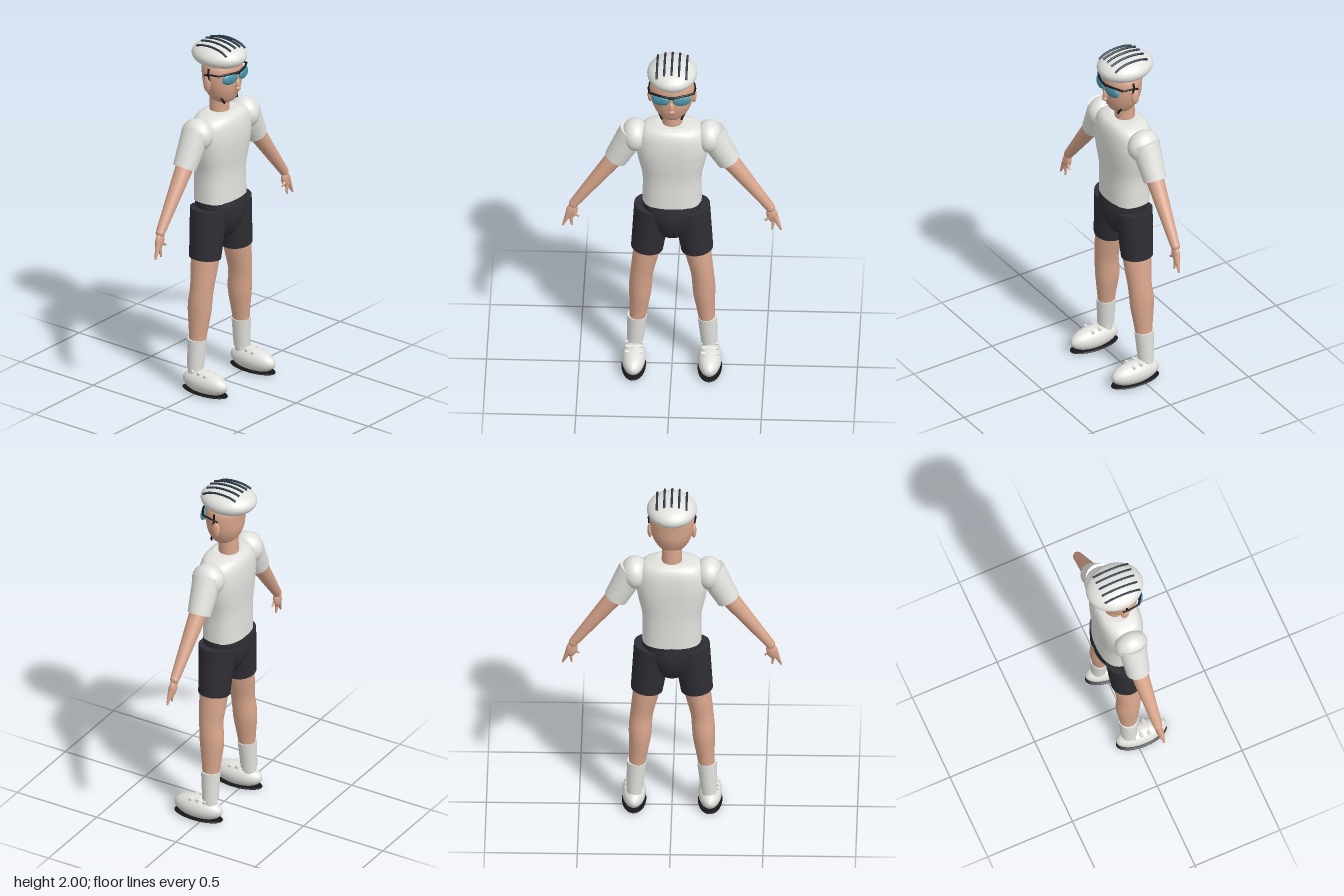
import * as THREE from 'three';

const mat = (name, color) => {
  const m = new THREE.MeshStandardMaterial({ color });
  m.name = name;
  return m;
};
const V = (x, y, z) => new THREE.Vector3(x, y, z);

// Smooth body through sections [y, centreX, centreZ, radiusX, radiusZ], listed upward, with flat ends.
function loft(sections, power = 2, sides = 40, steps = 24) {
  const centre = new THREE.CatmullRomCurve3(sections.map(s => V(s[1], s[0], s[2])), false, 'catmullrom', 0.5);
  const radius = new THREE.CatmullRomCurve3(sections.map(s => V(s[3], s[4], 0)), false, 'catmullrom', 0.5);
  const pos = [], idx = [];
  const bend = v => Math.sign(v) * Math.abs(v) ** (2 / power);
  const ring = t => {
    const c = centre.getPoint(t), r = radius.getPoint(t);
    for (let j = 0; j < sides; j++) {
      const a = j / sides * Math.PI * 2;
      pos.push(c.x + r.x * bend(Math.cos(a)), c.y, c.z + r.y * bend(Math.sin(a)));
    }
    return c;
  };
  for (let i = 0; i <= steps; i++) ring(i / steps);
  for (let i = 0; i < steps; i++) for (let j = 0; j < sides; j++) {
    const a = i * sides + j, b = i * sides + (j + 1) % sides;
    idx.push(a, a + sides, b, b, a + sides, b + sides);
  }
  for (const t of [0, 1]) {
    const start = pos.length / 3, c = ring(t);
    pos.push(c.x, c.y, c.z);
    for (let j = 0; j < sides; j++) {
      const a = start + j, b = start + (j + 1) % sides;
      idx.push(start + sides, t ? b : a, t ? a : b);
    }
  }
  const g = new THREE.BufferGeometry();
  g.setAttribute('position', new THREE.Float32BufferAttribute(pos, 3));
  g.setIndex(idx);
  g.computeVertexNormals();
  return g;
}

export function createModel() {
  const model = new THREE.Group();
  model.name = 'cyclist';
  const skin = mat('skin', 0xd9a68c), shirt = mat('white', 0xe2e2de), cloth = mat('shortsCharcoal', 0x2e2e34),
    black = mat('black', 0x17171a), lensMat = mat('lensTeal', 0x4a93a8), vent = mat('ventSlate', 0x2d3a4a),
    lip = mat('lipBrown', 0x9a6656);

  const add = (name, geometry, material) => {
    const m = new THREE.Mesh(geometry, material);
    m.name = name;
    model.add(m);
    return m;
  };
  const ball = (name, material, c, r) => {
    const m = add(name, new THREE.SphereGeometry(1, 36, 24), material);
    m.position.set(...c);
    m.scale.set(...r);
    return m;
  };
  // Tapered cylinder from a to b.
  const limb = (name, material, a, b, ra, rb) => {
    const p = V(...a), q = V(...b), d = q.clone().sub(p);
    const m = add(name, new THREE.CylinderGeometry(rb, ra, d.length(), 32), material);
    m.position.copy(p).lerp(q, 0.5);
    m.quaternion.setFromUnitVectors(V(0, 1, 0), d.normalize());
    return m;
  };
  const tube = (name, material, points, r) =>
    add(name, new THREE.TubeGeometry(new THREE.CatmullRomCurve3(points.map(p => V(...p))), 24, r, 8), material);

  // Torso, hips, neck
  add('shirt', loft([[1.085, 0, -0.025, 0.16, 0.114], [1.25, 0, -0.025, 0.16, 0.112], [1.36, 0, -0.022, 0.182, 0.12],
    [1.45, 0, -0.02, 0.195, 0.124], [1.53, 0, -0.02, 0.185, 0.118], [1.575, 0, -0.02, 0.15, 0.1],
    [1.592, 0, -0.02, 0.09, 0.07]], 2.4), shirt);
  add('shortsHips', loft([[0.84, 0, -0.02, 0.01, 0.01], [0.855, 0, -0.02, 0.055, 0.05], [0.9, 0, -0.02, 0.095, 0.09],
    [0.98, 0, -0.02, 0.135, 0.12], [1.04, 0, -0.02, 0.158, 0.122], [1.088, 0, -0.022, 0.165, 0.117]]), cloth);
  limb('neck', skin, [0, 1.55, -0.03], [0, 1.7, -0.027], 0.055, 0.054);

  // Head and face
  add('head', loft([[1.645, 0, 0, 0.035, 0.035], [1.665, 0, -0.003, 0.064, 0.064], [1.7, 0, -0.006, 0.09, 0.084],
    [1.75, 0, -0.009, 0.11, 0.099], [1.81, 0, -0.01, 0.12, 0.103], [1.87, 0, -0.012, 0.116, 0.102],
    [1.93, 0, -0.015, 0.07, 0.07]]), skin);
  ball('nose', skin, [0, 1.765, 0.093], [0.014, 0.034, 0.017]);
  ball('noseTip', skin, [0, 1.745, 0.1], [0.017, 0.013, 0.014]);
  ball('mouth', lip, [0, 1.718, 0.083], [0.016, 0.004, 0.005]);

  // Helmet with five vent stripes following its top
  const hc = [0, 1.915, -0.03], hr = [0.135, 0.072, 0.159];
  ball('helmet', shirt, hc, hr);
  for (let i = -2; i <= 2; i++) {
    const x = i * 0.04, pts = [];
    for (let k = 0; k <= 8; k++) {
      const z = -0.122 + k * 0.0258;
      const h = Math.sqrt(1 - (x / hr[0]) ** 2 - ((z - hc[2]) / hr[2]) ** 2);
      pts.push([x, hc[1] + hr[1] * h + 0.006, z]);
    }
    tube('helmetVent', vent, pts, 0.006);
  }

  // Glasses bridge
  tube('glassesBridge', black, [[-0.02, 1.825, 0.098], [0, 1.832, 0.103], [0.02, 1.825, 0.098]], 0.004);
  tube('glassesBrow', black, [[-0.122, 1.842, 0.06], [-0.06, 1.846, 0.095], [0, 1.842, 0.107],
    [0.06, 1.846, 0.095], [0.122, 1.842, 0.06]], 0.006);

  for (const s of [1, -1]) {
    const side = s > 0 ? 'left' : 'right';
    // Ear, lens, temple and helmet strap
    ball(side + 'Ear', skin, [s * 0.118, 1.775, -0.02], [0.014, 0.045, 0.023]);
    const lens = ball(side + 'Lens', lensMat, [s * 0.058, 1.815, 0.09], [0.05, 0.032, 0.016]);
    lens.rotation.y = s * 0.25;
    tube(side + 'Temple', black, [[s * 0.12, 1.842, 0.065], [s * 0.126, 1.838, 0.01], [s * 0.122, 1.825, -0.035]], 0.005);
    tube(side + 'Strap', black, [[s * 0.118, 1.87, -0.008], [s * 0.12, 1.82, -0.008], [s * 0.088, 1.74, 0.02],
      [s * 0.052, 1.658, 0.048]], 0.006);

    // Shoulder, sleeve and arm
    ball(side + 'Shoulder', shirt, [s * 0.2, 1.505, -0.022], [0.075, 0.09, 0.093]);
    limb(side + 'Sleeve', shirt, [s * 0.208, 1.525, -0.022], [s * 0.304, 1.343, -0.027], 0.08, 0.064);
    limb(side + 'Arm', skin, [s * 0.27, 1.4, -0.026], [s * 0.527, 1.05, -0.011], 0.053, 0.026);

    // Hand: wrist, palm, two finger groups and thumb
    ball(side + 'Wrist', skin, [s * 0.53, 1.045, -0.011], [0.026, 0.026, 0.025]);
    const palm = ball(side + 'Palm', skin, [s * 0.54, 1.0, -0.008], [0.031, 0.05, 0.019]);
    palm.rotation.z = s * 0.25;
    for (const [x, y, r] of [[0.589, 0.908, 0.02], [0.54, 0.91, 0.015], [0.5, 0.968, 0.015]])
      limb(side + 'Finger', skin, [s * 0.55, 1.0, -0.006], [s * x, y, 0.002], r, 0.005);

    // Shorts leg, bare leg and sock
    limb(side + 'ShortsLeg', cloth, [s * 0.102, 1.045, -0.02], [s * 0.135, 0.765, -0.02], 0.103, 0.087);
    add(side + 'Leg', loft([[0.24, s * 0.192, -0.032, 0.042, 0.046], [0.32, s * 0.184, -0.03, 0.046, 0.05],
      [0.45, s * 0.173, -0.028, 0.059, 0.066], [0.52, s * 0.17, -0.025, 0.062, 0.068],
      [0.6, s * 0.163, -0.018, 0.062, 0.067], [0.7, s * 0.146, -0.018, 0.069, 0.076],
      [0.82, s * 0.125, -0.018, 0.077, 0.083]]), skin);
    limb(side + 'Sock', shirt, [s * 0.2, 0.135, -0.035], [s * 0.189, 0.3, -0.031], 0.045, 0.053);
    limb(side + 'Ankle', shirt, [s * 0.204, 0.07, -0.036], [s * 0.2, 0.15, -0.035], 0.038, 0.04);

    // Shoe, sole and laces
    ball(side + 'Shoe', shirt, [s * 0.205, 0.067, 0.037], [0.064, 0.065, 0.147]);
    ball(side + 'Sole', black, [s * 0.205, 0.014, 0.037], [0.066, 0.011, 0.148]);
    for (const [z, y] of [[0.066, 0.119], [0.022, 0.124], [-0.022, 0.124]])
      limb(side + 'Lace', shirt, [s * 0.205 - 0.045, y, z], [s * 0.205 + 0.045, y, z], 0.009, 0.009);
  }
  return model;
}
